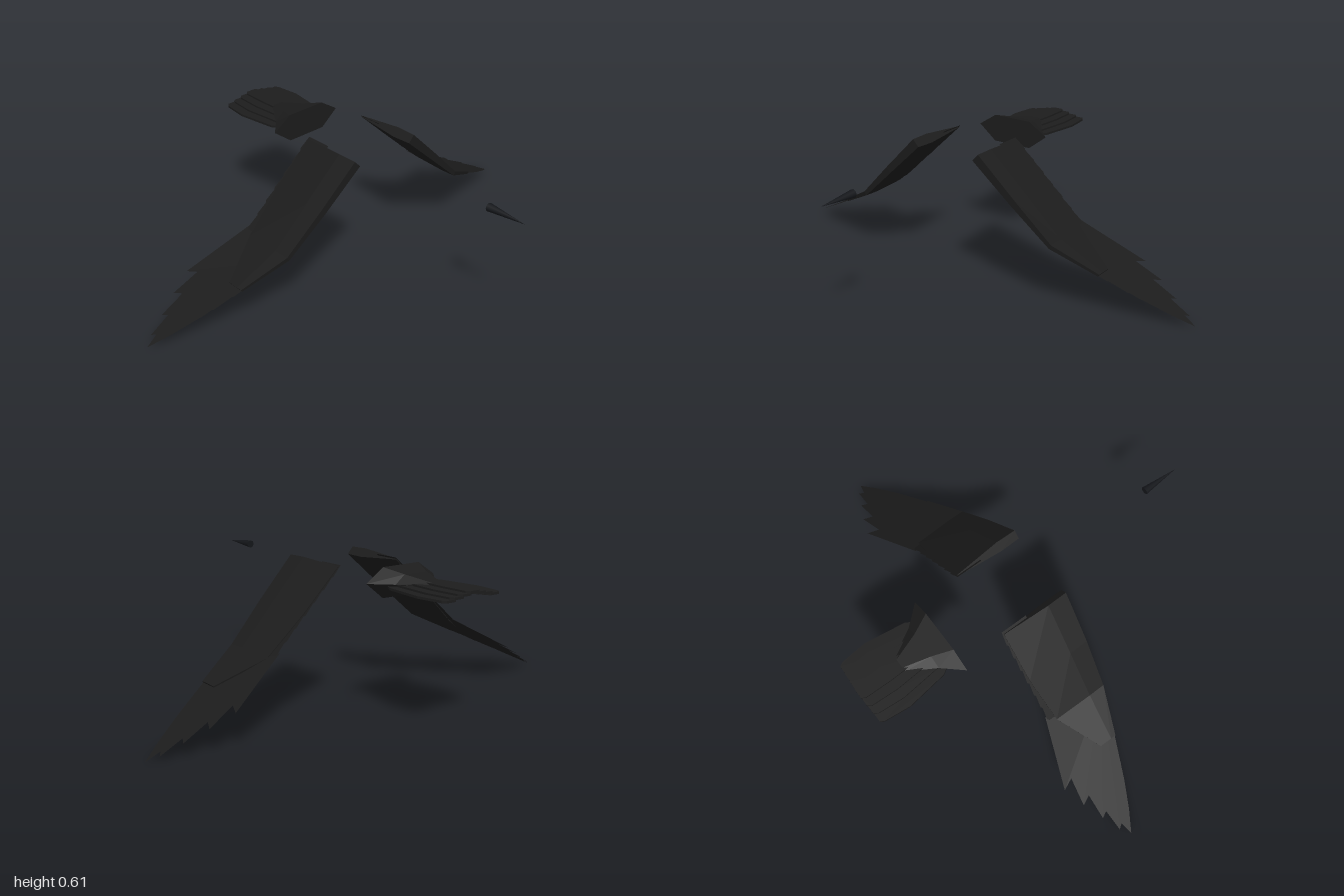
import * as THREE from 'three';

const plumage = new THREE.MeshStandardMaterial({ color: 0x1c1c1c, side: THREE.DoubleSide });
plumage.name = 'blackPlumage';
const horn = new THREE.MeshStandardMaterial({ color: 0x14161a });
horn.name = 'darkBeak';

// Flat-shaded geometry from a list of triangle corner points
function facets(points) {
  const g = new THREE.BufferGeometry();
  g.setAttribute('position', new THREE.Float32BufferAttribute(points.flat(), 3));
  g.computeVertexNormals();
  return g;
}

// Closed loft through rings of equal point count, capped at both ends
function loft(rings, flip) {
  const out = [];
  const tri = (a, b, c) => (flip ? out.push(a, c, b) : out.push(a, b, c));
  const n = rings[0].length;
  for (let r = 0; r + 1 < rings.length; r++) {
    for (let i = 0; i < n; i++) {
      const j = (i + 1) % n;
      const [a, b, c, d] = [rings[r][i], rings[r][j], rings[r + 1][j], rings[r + 1][i]];
      tri(a, b, c);
      tri(a, c, d);
    }
  }
  const last = rings[rings.length - 1];
  for (let i = 1; i + 1 < n; i++) {
    tri(rings[0][0], rings[0][i + 1], rings[0][i]);
    tri(last[0], last[i], last[i + 1]);
  }
  return facets(out);
}

function add(group, name, geometry, material = plumage) {
  const m = new THREE.Mesh(geometry, material);
  m.name = name;
  group.add(m);
}

// Height of the wing's mid surface at a distance z from the centre line
const wingY = (z) => (z < 0.48 ? 0.585 - (z - 0.15) * 0.933 : 0.277 - (z - 0.48) * 0.533);

function makeWing(side) {
  const wing = new THREE.Group();
  wing.name = side > 0 ? 'wingPlusZ' : 'wingMinusZ';

  // Arm and hand: z, leading x, trailing x, half thickness
  const stations = [
    [0.15, 0.078, -0.21, 0.022],
    [0.32, 0.06, -0.215, 0.017],
    [0.48, 0.035, -0.2, 0.011],
    [0.66, -0.035, -0.11, 0.006],
  ];
  const rings = stations.map(([z, lead, trail, h], k) => {
    const nz = k < 2 ? 0.68 : 0.5, ny = k < 2 ? 0.73 : 0.86;
    const mid = lead + (trail - lead) * 0.3;
    const section = [[lead, h * 0.9], [mid, h], [trail, 0.003], [trail, -0.003], [mid, -h], [lead, -h * 0.9]];
    return section.map(([x, t]) => [x, wingY(z) + t * ny, side * (z + t * nz)]);
  });
  add(wing, 'wingArm', loft(rings, side < 0));

  // Thin feather following the wing surface, fanned from its first corner
  const feather = (name, outline, lift) => {
    const p = outline.map(([x, z]) => [x, wingY(z) + lift, side * z]);
    const out = [];
    for (let i = 1; i + 1 < p.length; i++) {
      if (side > 0) out.push(p[0], p[i + 1], p[i]);
      else out.push(p[0], p[i], p[i + 1]);
    }
    add(wing, name, facets(out));
  };

  // Secondaries form the stepped trailing edge
  for (let i = 0; i < 7; i++) {
    const z = 0.142 + i * 0.046, x = -0.222 - i * 0.002;
    feather('secondaryFeather', [[-0.1, z], [x + 0.008, z], [x, z + 0.042], [x + 0.008, z + 0.05], [-0.1, z + 0.05]], -0.001 * (i % 2));
  }

  // Primaries fan out from the wrist: inner corner, tip, outer notch, leading corner
  const primaries = [
    [[-0.235, 0.45], [-0.332, 0.71], [-0.28, 0.688], [-0.03, 0.64]],
    [[-0.282, 0.68], [-0.302, 0.8], [-0.26, 0.78], [-0.05, 0.69]],
    [[-0.262, 0.77], [-0.266, 0.885], [-0.238, 0.87], [-0.08, 0.765]],
    [[-0.24, 0.86], [-0.234, 0.96], [-0.213, 0.945], [-0.1, 0.81]],
    [[-0.215, 0.94], [-0.203, 1.0], [-0.155, 0.92], [-0.105, 0.82], [-0.03, 0.645]],
  ];
  primaries.forEach((pts, i) => feather('primaryFeather', [[0.02, 0.49], ...pts], -0.0015 * (4 - i)));
  return wing;
}

function makeTail() {
  const tail = new THREE.Group();
  tail.name = 'tail';

  // Six-sided rump: x, half width, half width of flats, top, bottom
  const rings = [
    [-0.4, 0.172, 0.09, 0.605, 0.487],
    [-0.48, 0.1, 0.055, 0.585, 0.508],
    [-0.59, 0.035, 0.02, 0.565, 0.535],
  ].map(([x, w, f, t, b]) => {
    const m = (t + b) / 2 + 0.005;
    return [[x, t, -f], [x, t, f], [x, m, w], [x, b, f], [x, b, -f], [x, m, -w]];
  });
  add(tail, 'tailBase', loft(rings, true));

  // Layered fan of tail feathers, highest in the middle
  for (let i = -3; i <= 3; i++) {
    const k = Math.abs(i), c = i * 0.04, w = 0.034;
    const end = -0.78 + 0.002 * k;
    const outline = [
      [-0.43, i * 0.027 - 0.02], [-0.48, i * 0.034 - 0.028], [-0.65, c - w], [end + 0.015, c * 0.92 - w + 0.002],
      [end, c * 0.92 - 0.022], [end, c * 0.92 + 0.022],
      [end + 0.015, c * 0.92 + w - 0.002], [-0.65, c + w], [-0.48, i * 0.034 + 0.028], [-0.43, i * 0.027 + 0.02],
    ];
    const shape = new THREE.Shape(outline.map(([x, z]) => new THREE.Vector2(x, -z)));
    const g = new THREE.ExtrudeGeometry(shape, { depth: 0.009, bevelEnabled: false });
    g.rotateX(-Math.PI / 2);
    g.translate(0, 0.556 - k * 0.007, 0);
    add(tail, 'tailFeather', g);
  }
  return tail;
}

export function createModel() {
  const model = new THREE.Group();
  model.name = 'birdParts';
  model.add(makeWing(1), makeWing(-1), makeTail());

  // Pointed beak
  const beak = new THREE.ConeGeometry(0.017, 0.165, 8);
  beak.rotateZ(-Math.PI / 2);
  beak.translate(0.6925, 0.562, 0);
  add(model, 'beak', beak, horn);
  return model;
}
